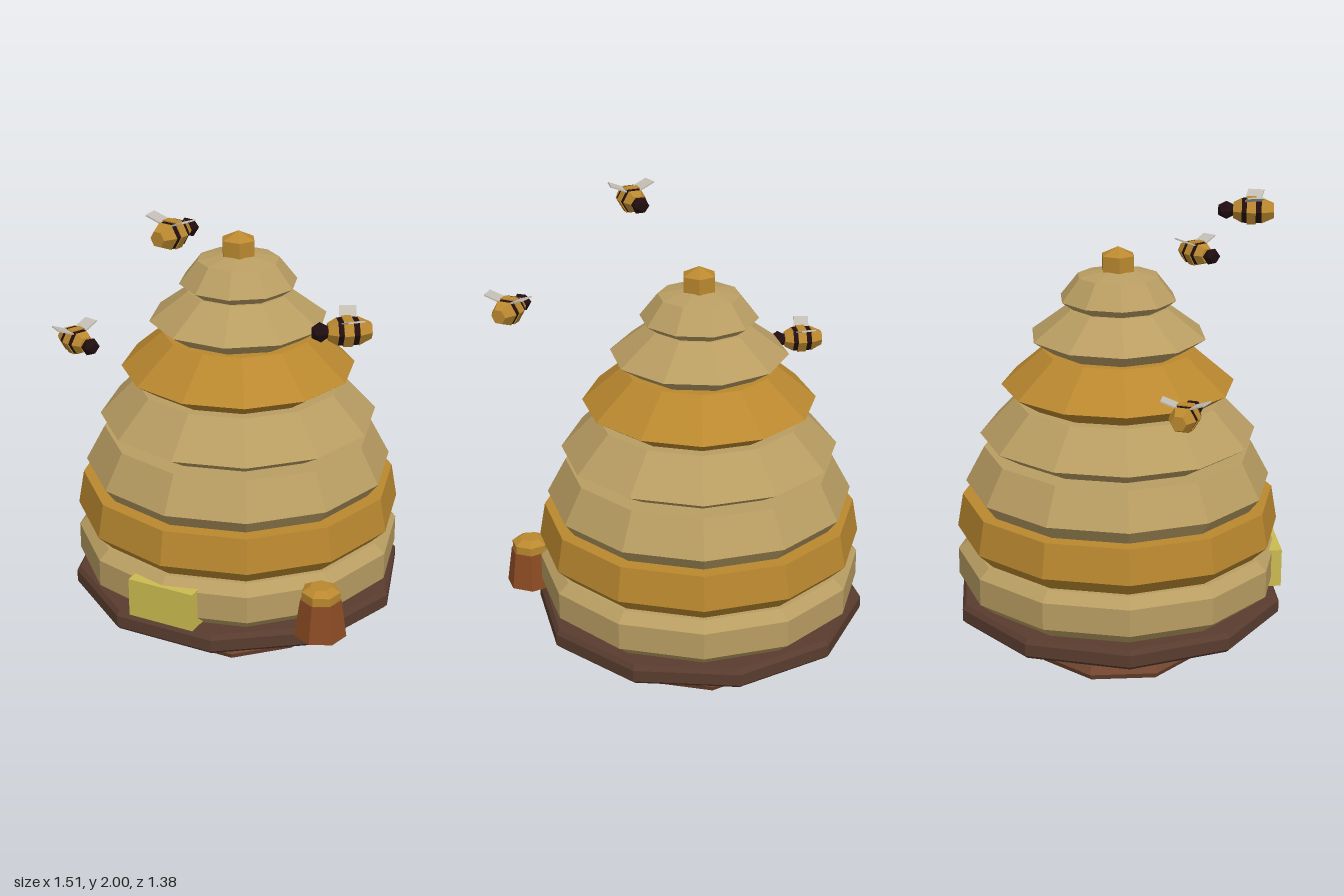
import * as THREE from 'three';

const mat = (name, color, extra = {}) => {
  const m = new THREE.MeshStandardMaterial({ color, flatShading: true, ...extra });
  m.name = name;
  return m;
};

export function createModel() {
  const straw = mat('straw', 0xb99d62);
  const honey = mat('honey gold', 0xba882f);
  const plank = mat('dark plank', 0x593c2f);
  const wood = mat('stand wood', 0x774a33);
  const potWood = mat('pot wood', 0x8b4a24);
  const door = mat('entrance yellow', 0xcabb50);
  const black = mat('bee black', 0x210d0f);
  const wing = mat('wing grey', 0xc2beb4, { side: THREE.DoubleSide });

  const root = new THREE.Group();

  const add = (parent, name, geometry, material, x = 0, y = 0, z = 0) => {
    const m = new THREE.Mesh(geometry, material);
    m.name = name;
    m.position.set(x, y, z);
    parent.add(m);
    return m;
  };

  // Faceted solid from [radius, height] pairs, bottom to top
  const turned = (profile, sides, start = Math.PI / 2) =>
    new THREE.LatheGeometry(profile.map(([r, y]) => new THREE.Vector2(r, y)), sides, start);

  // Stand and round shelf
  add(root, 'stand', turned([[0, 0], [0.355, 0], [0.368, 0.025], [0.29, 0.215], [0.27, 0.24], [0, 0.24]], 8, Math.PI / 8), wood);
  add(root, 'shelf', turned([[0, 0.225], [0.69, 0.225], [0.705, 0.24], [0.705, 0.29], [0.69, 0.31], [0, 0.31]], 10), plank);

  // Stacked hive tiers, each flaring out from a narrow underside
  const tiers = [
    [straw, 12, [[0.62, 0.31], [0.685, 0.365], [0.685, 0.48], [0.64, 0.52]]],
    [honey, 12, [[0.62, 0.52], [0.685, 0.585], [0.66, 0.73]]],
    [straw, 12, [[0.6, 0.73], [0.645, 0.79], [0.565, 0.94]]],
    [straw, 12, [[0.48, 0.94], [0.58, 1.0], [0.435, 1.15]]],
    [honey, 12, [[0.39, 1.15], [0.487, 1.213], [0.315, 1.36]]],
    [straw, 10, [[0.28, 1.36], [0.37, 1.42], [0.21, 1.54]]],
    [straw, 10, [[0.19, 1.535], [0.245, 1.575], [0.17, 1.67], [0.05, 1.695]]],
  ];
  tiers.forEach(([material, sides, p], i) => {
    const closed = [[0, p[0][1]], ...p, [0, p[p.length - 1][1]]];
    add(root, `hiveTier${i + 1}`, turned(closed, sides), material);
  });
  add(root, 'topKnob', turned([[0, 1.68], [0.073, 1.68], [0.073, 1.755], [0, 1.79]], 6), honey);

  // Entrance panel
  add(root, 'entrance', new THREE.BoxGeometry(0.292, 0.165, 0.12), door, 0, 0.408, 0.63);

  // Honey pot on the shelf
  const pot = new THREE.Group();
  pot.name = 'honeyPot';
  pot.position.set(0.595, 0.31, 0.44);
  root.add(pot);
  add(pot, 'potBody', turned([[0, 0], [0.108, 0], [0.085, 0.16], [0, 0.16]], 7, 0), potWood);
  add(pot, 'potHoney', turned([[0, 0.16], [0.08, 0.16], [0.08, 0.195], [0.045, 0.215], [0, 0.215]], 7, 0), honey);

  // Bees: banded body along z, head forward, two raised wings
  const bands = [
    ['tail', honey, [[0, -0.085], [0.032, -0.085], [0.056, -0.035]]],
    ['rearStripe', black, [[0.053, -0.035], [0.055, -0.012]]],
    ['middle', honey, [[0.06, -0.012], [0.06, 0.025]]],
    ['frontStripe', black, [[0.055, 0.025], [0.052, 0.045]]],
    ['chest', honey, [[0.053, 0.045], [0.034, 0.08]]],
  ];
  const bee = (x, y, z, yaw) => {
    const b = new THREE.Group();
    b.name = 'bee';
    b.position.set(x, y, z);
    b.rotation.y = yaw;
    for (const [name, material, p] of bands) {
      const closed = [[0, p[0][1]], ...p, [0, p[p.length - 1][1]]];
      add(b, name, turned(closed, 6).rotateX(Math.PI / 2), material);
    }
    add(b, 'head', new THREE.IcosahedronGeometry(0.039, 0), black, 0, 0, 0.108);
    for (const s of [-1, 1]) {
      const w = add(b, s > 0 ? 'leftWing' : 'rightWing', new THREE.BoxGeometry(0.08, 0.006, 0.066), wing, s * 0.055, 0.053, -0.005);
      w.rotation.set(0, s * 0.18, s * 0.36);
    }
    root.add(b);
  };
  bee(0, 1.93, 0.55, 2.99);
  bee(-0.665, 1.272, 0.21, 1.17);
  bee(0.665, 1.605, 0.395, -0.97);

  return root;
}
